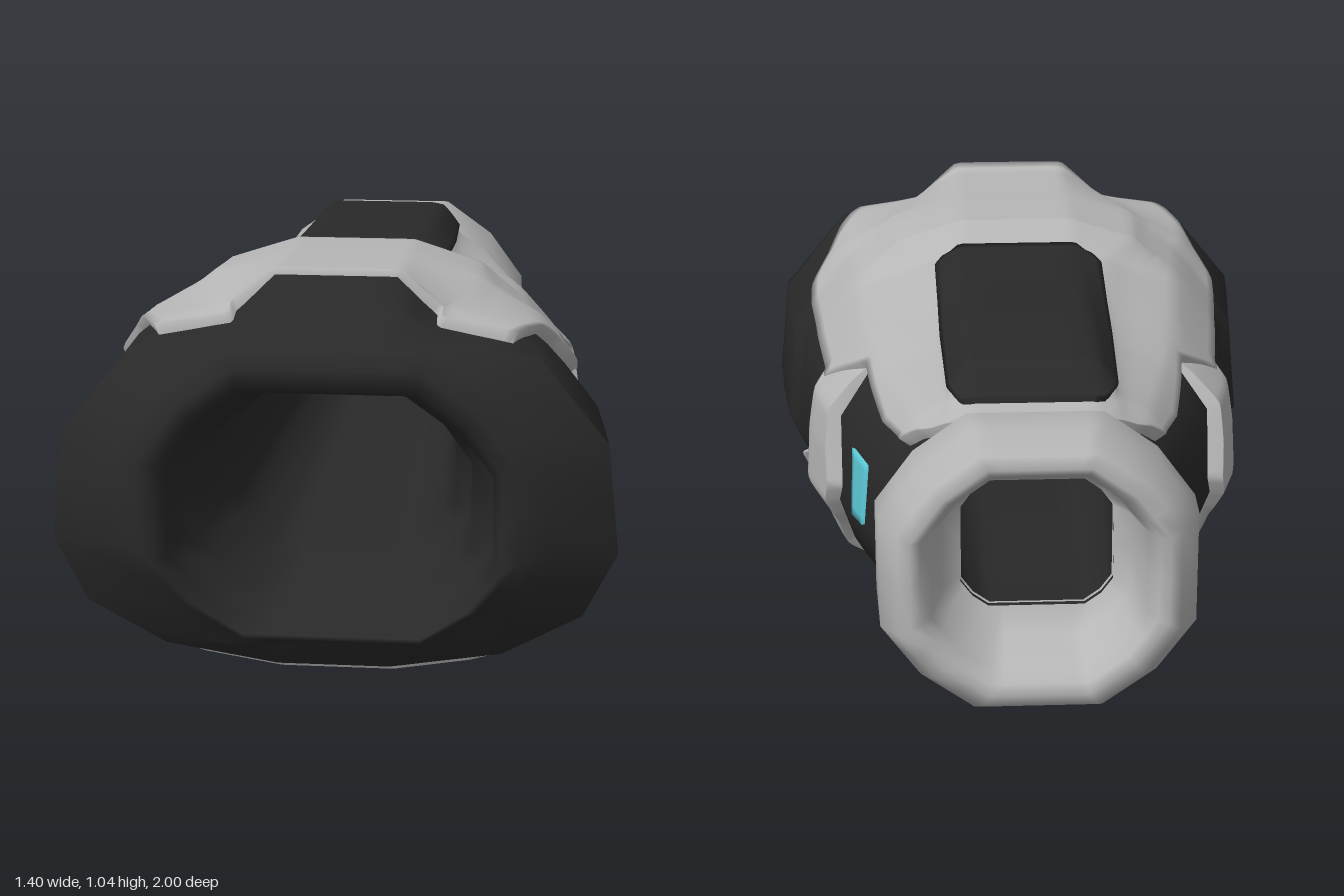
import * as THREE from 'three';

const mats = {
  dark: new THREE.MeshStandardMaterial({ name: 'charcoal', color: 0x292929 }),
  grey: new THREE.MeshStandardMaterial({ name: 'lightGrey', color: 0xb6b6b6 }),
  cyan: new THREE.MeshStandardMaterial({ name: 'cyan', color: 0x5ccad8 }),
};

const lerp = THREE.MathUtils.lerp;

// Shell from back to front: z, half width, roof y, hump foot x and y, shoulder y, bottom y
const stations = [
  [-0.74, 0.37, 0.82, 0.2, 0.8, 0.75, 0.18],
  [-0.67, 0.38, 0.835, 0.2, 0.815, 0.76, 0.18],
  [-0.62, 0.39, 0.9, 0.2, 0.83, 0.77, 0.18],
  [-0.3, 0.49, 0.912, 0.22, 0.84, 0.77, 0.13],
  [-0.1, 0.545, 0.915, 0.23, 0.86, 0.79, 0.105],
  [0.2, 0.595, 0.925, 0.25, 0.9, 0.82, 0.065],
  [0.28, 0.605, 0.99, 0.32, 0.935, 0.835, 0.055],
  [0.44, 0.63, 0.995, 0.33, 0.945, 0.845, 0.035],
  [0.5, 0.665, 0.995, 0.33, 0.945, 0.85, 0.028],
  [0.74, 0.69, 0.997, 0.27, 0.92, 0.86, 0.024],
  [0.77, 0.692, 1.02, 0.26, 0.91, 0.86, 0.028],
  [0.86, 0.7, 0.965, 0.25, 0.89, 0.85, 0.045],
];

// Half section of the shell at z, from top centre to bottom centre
function section(z) {
  let k = 1;
  while (k < stations.length - 1 && z > stations[k][0]) k++;
  const a = stations[k - 1], b = stations[k];
  const f = THREE.MathUtils.clamp((z - a[0]) / (b[0] - a[0]), 0, 1);
  const [, w, roof, humpX, humpY, shoulder, low] = a.map((v, i) => lerp(v, b[i], f));
  return [
    [0, roof], [0.15, roof], [humpX, humpY], [0.71 * w, shoulder], [0.96 * w, 0.635],
    [w, 0.33 + 0.65 * low], [0.88 * w, 0.16 + 0.8 * low], [0.6 * w, low + 0.045], [0.14, low], [0, low],
  ];
}

// Piecewise-linear lookup in [[x, y], ...] with x ascending
function ramp(table, x) {
  if (x <= table[0][0]) return table[0][1];
  for (let i = 1; i < table.length; i++) {
    const [x0, y0] = table[i - 1], [x1, y1] = table[i];
    if (x <= x1) return lerp(y0, y1, (x - x0) / (x1 - x0));
  }
  return table[table.length - 1][1];
}

// Point on a half section mirrored to a closed loop; u has a period of 18
function onSection(pts, u) {
  u = ((u % 18) + 18) % 18;
  const side = u > 9 ? -1 : 1, v = u > 9 ? 18 - u : u;
  const i = Math.min(8, Math.floor(v)), f = v - i;
  return [side * lerp(pts[i][0], pts[i + 1][0], f), lerp(pts[i][1], pts[i + 1][1], f)];
}

// Point on the shell, raised along the section normal
function shell(z, u, lift = 0) {
  const pts = section(z);
  const [x, y] = onSection(pts, u), p = onSection(pts, u - 0.35), q = onSection(pts, u + 0.35);
  const dx = q[0] - p[0], dy = q[1] - p[1], len = Math.hypot(dx, dy) || 1;
  return [x - (dy / len) * lift, y + (dx / len) * lift, z];
}

// Smooth surface through rows of points
function surface(name, mat, rows, closed) {
  const n = rows[0].length, index = [];
  for (let i = 0; i < rows.length - 1; i++) {
    for (let j = 0; j < (closed ? n : n - 1); j++) {
      const k = (j + 1) % n, a = i * n + j, b = a + n, c = i * n + k, d = c + n;
      index.push(a, b, c, c, b, d);
    }
  }
  const geo = new THREE.BufferGeometry();
  geo.setAttribute('position', new THREE.Float32BufferAttribute(rows.flat(2), 3));
  geo.setIndex(index);
  geo.computeVertexNormals();
  const mesh = new THREE.Mesh(geo, mat);
  mesh.name = name;
  return mesh;
}

// Raised plate; map(s, t) gives [z, u], and its border drops into the shell
function plate(name, mat, map, lift, ns, nt) {
  const rows = [];
  for (let i = -1; i <= nt + 1; i++) {
    const row = [];
    for (let j = -1; j <= ns + 1; j++) {
      const s = THREE.MathUtils.clamp(j / ns, 0, 1), t = THREE.MathUtils.clamp(i / nt, 0, 1);
      const [z, u] = map(s, t);
      const border = i < 0 || j < 0 || i > nt || j > ns;
      row.push(shell(z, u, border ? -0.012 : lift(u)));
    }
    rows.push(row);
  }
  return surface(name, mat, rows, false);
}

// Octagonal ring with cut corners; the lower lip may lean backwards
function octagon(z, w, b, t, c, lean = 0) {
  const m = w - c, e = c * 0.42;
  const pts = [[0, t], [m / 2, t], [m, t], [w - e, t - e], [w, t - c],
    [w, b + c], [w - e, b + e], [m, b], [m / 2, b], [0, b]];
  return Array.from({ length: 36 }, (_, j) => {
    const [x, y] = onSection(pts, j / 2);
    return [x, y, z - Math.max(0, 0.34 - y) * lean];
  });
}

export function createModel() {
  const model = new THREE.Group();
  model.name = 'opticalScope';

  // Shell, front lip and hollow tunnel in one skin
  const skin = [];
  for (let i = 0; i < stations.length - 1; i++) {
    for (let k = i ? 1 : 0; k <= 4; k++) {
      const z = lerp(stations[i][0], stations[i + 1][0], k / 4);
      skin.push(Array.from({ length: 36 }, (_, j) => shell(z, j / 2)));
    }
  }
  skin.push(
    octagon(0.965, 0.53, 0.1, 0.88, 0.28, 0.35),
    octagon(0.995, 0.46, 0.13, 0.84, 0.24, 0.35),
    octagon(0.985, 0.42, 0.14, 0.79, 0.2, 0.35),
    octagon(0.95, 0.4, 0.15, 0.77, 0.2, 0.3),
    octagon(0.82, 0.39, 0.16, 0.765, 0.19),
    octagon(0.8, 0.34, 0.19, 0.73, 0.17),
    octagon(0.55, 0.32, 0.21, 0.72, 0.16),
    octagon(0.53, 0.28, 0.25, 0.71, 0.13),
    octagon(-0.2, 0.235, 0.31, 0.705, 0.1),
    octagon(-0.83, 0.19, 0.365, 0.7, 0.07),
  );
  model.add(surface('shellBody', mats.dark, skin, true));

  // Eyepiece ring, from its inner edge round to the outside
  model.add(surface('eyepiece', mats.grey, [
    octagon(-0.81, 0.188, 0.367, 0.698, 0.07), octagon(-0.84, 0.235, 0.29, 0.74, 0.13),
    octagon(-0.955, 0.265, 0.25, 0.765, 0.15), octagon(-0.985, 0.29, 0.225, 0.785, 0.17),
    octagon(-1, 0.315, 0.2, 0.805, 0.19), octagon(-0.985, 0.345, 0.165, 0.835, 0.2),
    octagon(-0.92, 0.39, 0.13, 0.88, 0.23), octagon(-0.745, 0.4, 0.155, 0.85, 0.23),
    octagon(-0.715, 0.385, 0.17, 0.835, 0.22), octagon(-0.69, 0.33, 0.22, 0.78, 0.18),
  ], true));

  // Top armour with its stepped side edge, cut back at the front hump
  const topEdge = [[-0.74, 1.7], [-0.7, 2.8], [-0.64, 3.35], [-0.5, 3.45], [-0.18, 3.22], [-0.12, 3.5],
    [-0.04, 3.85], [0, 3.78], [0.44, 3.7], [0.49, 3.55], [0.56, 3.2], [0.65, 3], [0.8, 2.75]];
  const topLift = [[2.3, 0.022], [3.2, 0.034]];
  model.add(plate('topArmour', mats.grey, (s, t) => {
    const across = lerp(-1, 1, s), z = lerp(-0.74, Math.abs(across) < 0.7 ? 0.765 : 0.8, t);
    return [z, across * ramp(topEdge, z)];
  }, (u) => ramp(topLift, Math.abs(u)), 60, 90));

  // Dark inset panel on the roof with rounded ends
  const panelEdge = [[-0.69, 1.1], [-0.67, 1.5], [-0.62, 1.75], [0.14, 1.72], [0.18, 1.5], [0.21, 1.1]];
  model.add(plate('roofPanel', mats.dark, (s, t) => {
    const z = lerp(-0.69, 0.21, t);
    return [z, lerp(-1, 1, s) * ramp(panelEdge, z)];
  }, () => 0.036, 20, 60));

  // Lower armour with its flank bands, wrapping round the underside
  const backEdge = [[3.1, -0.15], [3.6, -0.19], [4.8, -0.285], [5.3, -0.24], [6, -0.17], [7, -0.12], [9, -0.1]];
  const frontEdge = [[3.1, 0.02], [3.7, 0.01], [4, -0.045], [4.8, -0.06], [5.15, -0.05], [5.3, 0],
    [5.55, 0.46], [5.8, 0.52], [6.4, 0.64], [7.3, 0.77]];
  const lowerLift = [[3.1, 0], [3.5, 0.024], [3.9, 0.036], [4.4, 0.044], [5, 0.04], [5.5, 0.024], [9, 0.024]];
  const fold = (u) => 9 - Math.abs(u - 9);
  model.add(plate('lowerArmour', mats.grey, (s, t) => {
    const u = lerp(3.1, 14.9, s);
    return [lerp(ramp(backEdge, fold(u)), ramp(frontEdge, fold(u)), t), u];
  }, (u) => ramp(lowerLift, fold(u)), 160, 40));

  // Indicator light on the left flank only
  model.add(plate('indicatorLight', mats.cyan, (s, t) => [
    lerp(-0.49, lerp(-0.37, -0.4, s), t), lerp(4.15, 4.98, s),
  ], () => 0.008, 8, 6));

  return model;
}
